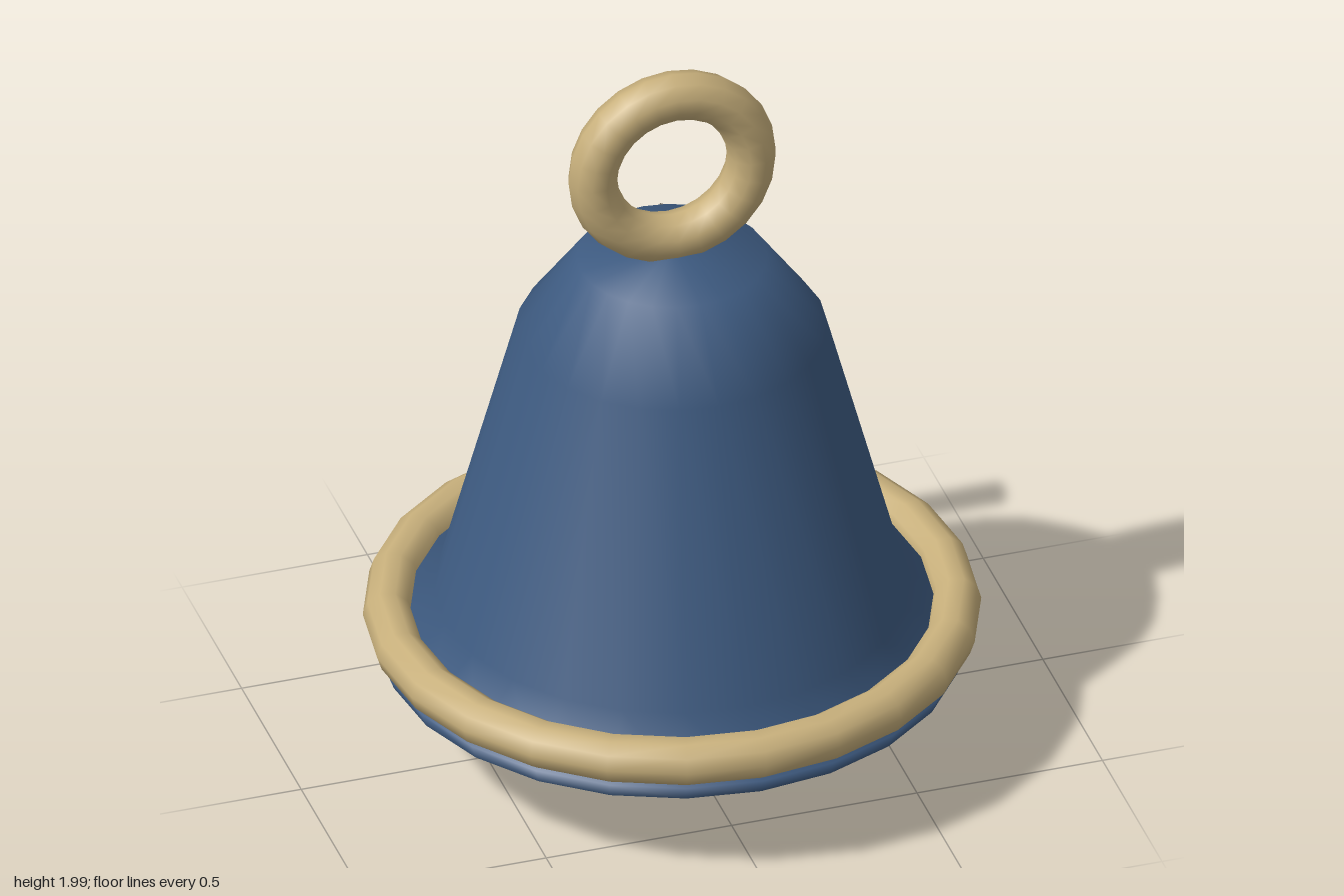
import * as THREE from 'three';

const material = (color, side = THREE.FrontSide) => new THREE.MeshStandardMaterial({ color, side });

export function createModel() {
  const model = new THREE.Group();
  const gold = material(0xc8b07c);

  const add = (name, geometry, mat, y = 0) => {
    const mesh = new THREE.Mesh(geometry, mat);
    mesh.name = name;
    mesh.position.y = y;
    model.add(mesh);
    return mesh;
  };

  // Thin open shell, flaring out through the rim band
  const profile = [[0.75, 0.27], [0.765, 0.31], [0.61, 0.44], [0.4, 1.23], [0.245, 1.445], [0, 1.475]]
    .map(([r, y]) => new THREE.Vector2(r, y));
  add('bellShell', new THREE.LatheGeometry(profile, 24), material(0x3d5a80, THREE.DoubleSide));

  // Band around the mouth
  const band = new THREE.TorusGeometry(0.731, 0.064, 10, 24);
  band.rotateX(Math.PI / 2);
  add('rimBand', band, gold, 0.372);

  // Hanging loop on the crown
  add('hangingLoop', new THREE.TorusGeometry(0.214, 0.065, 10, 24), gold, 1.721);

  // Round clapper in the mouth
  add('clapper', new THREE.SphereGeometry(0.185, 20, 14), material(0x4fb0b8), 0.195);

  // Zigzag tail down the back, open at both ends
  const tailPath = new THREE.CatmullRomCurve3([
    new THREE.Vector3(0.16, 1.225, -0.495),
    new THREE.Vector3(-0.18, 0.82, -0.595),
    new THREE.Vector3(0.14, 0.79, -0.655),
    new THREE.Vector3(-0.18, 0.46, -0.665),
  ]);
  add('tail', new THREE.TubeGeometry(tailPath, 30, 0.048, 8, false), material(0xc4bbaa, THREE.DoubleSide));

  return model;
}
